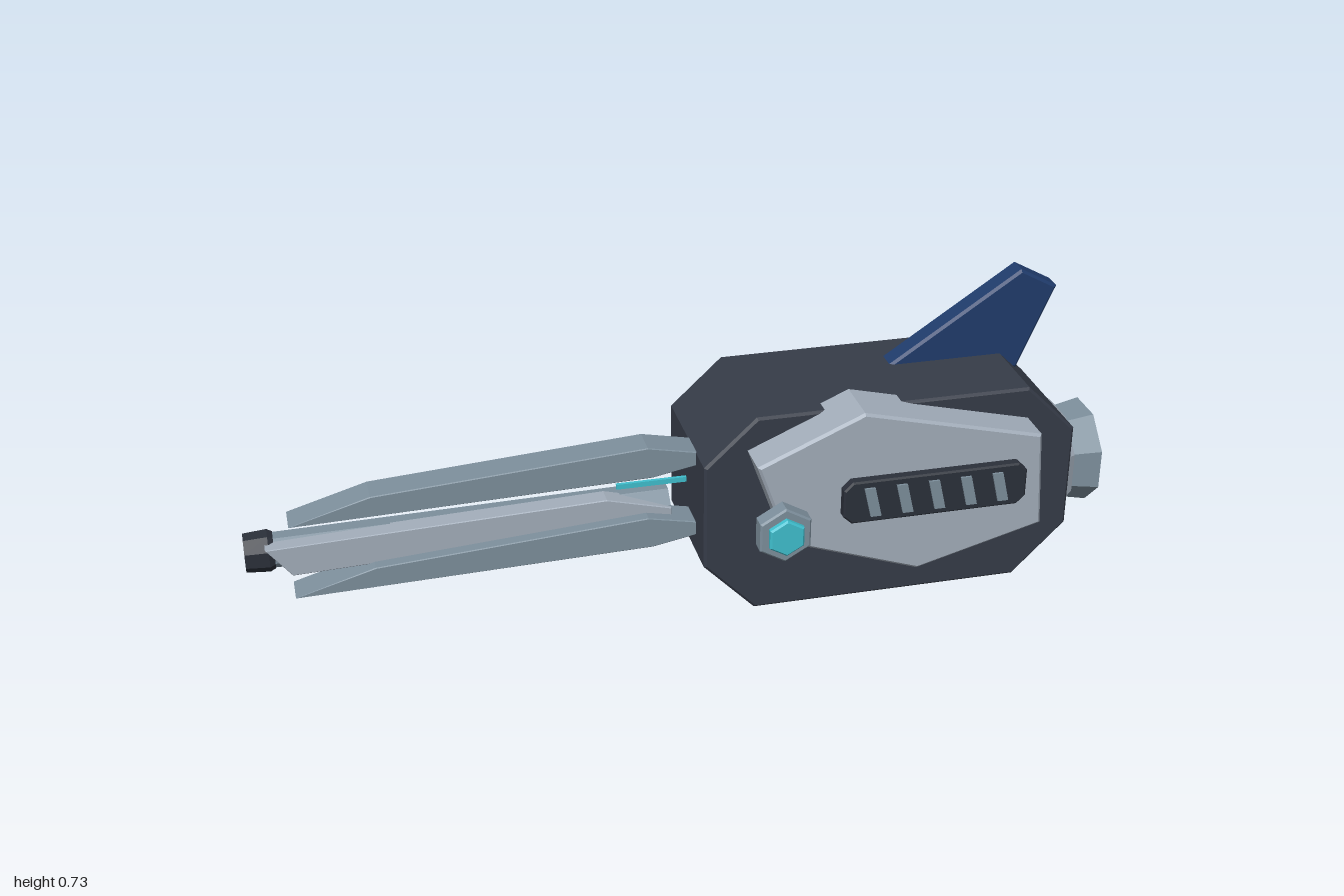
import * as THREE from 'three';

const mat = (name, color, flatShading = true) => {
  const m = new THREE.MeshStandardMaterial({ color, flatShading });
  m.name = name;
  return m;
};

export function createModel() {
  const root = new THREE.Group();
  root.name = 'blaster';
  const dark = mat('charcoal', 0x363c48);
  const black = mat('darkMetal', 0x2b303a);
  const light = mat('lightSteel', 0xa3aebb);
  const steel = mat('steel', 0x7d8f9c);
  const blue = mat('navy', 0x203c6c);
  const cyan = mat('cyanGlow', 0x3fbfce);

  const add = (name, geo, material) => {
    const m = new THREE.Mesh(geo, material);
    m.name = name;
    root.add(m);
    return m;
  };

  // Outline in the xy plane, extruded from z0 to z1 with a small inner bevel
  const slab = (name, pts, z0, z1, material, bevel = 0.006) => {
    const shape = new THREE.Shape(pts.map(p => new THREE.Vector2(p[0], p[1])));
    const geo = new THREE.ExtrudeGeometry(shape, {
      depth: z1 - z0 - 2 * bevel, bevelEnabled: bevel > 0, bevelThickness: bevel,
      bevelSize: bevel, bevelOffset: -bevel, bevelSegments: 1,
    });
    geo.translate(0, 0, z0 + bevel);
    return add(name, geo, material);
  };

  // Octagonal turned part; profile is [radius, distance along x], dir +1 or -1
  const turned = (name, profile, dir, x, y, z, material) => {
    const pts = profile.map(p => new THREE.Vector2(p[0], p[1]));
    const m = add(name, new THREE.LatheGeometry(pts, 8, Math.PI / 8), material);
    m.rotation.z = -dir * Math.PI / 2;
    m.position.set(x, y, z);
    return m;
  };

  // Main housing
  slab('housing', [[0.13, 0.036], [0.765, 0.036], [0.888, 0.16], [0.888, 0.41],
    [0.77, 0.527], [0.13, 0.527], [0.01, 0.415], [0.01, 0.16]], -0.24, 0.09, dark);

  // Side armour
  slab('armourPlate', [[0.18, 0.25], [0.49, 0.142], [0.785, 0.222], [0.77, 0.452],
    [0.35, 0.555], [0.108, 0.45]], 0.045, 0.178, light);

  // Vent with slanted slats
  slab('vent', [[0.32, 0.296], [0.71, 0.296], [0.73, 0.315], [0.73, 0.38],
    [0.71, 0.4], [0.32, 0.4], [0.3, 0.38], [0.3, 0.315]], 0.176, 0.203, black, 0.004);
  for (let i = 0; i < 5; i++) {
    const x = 0.352 + i * 0.075;
    slab('ventSlat' + (i + 1), [[x + 0.01, 0.312], [x + 0.035, 0.312],
      [x + 0.018, 0.384], [x - 0.007, 0.384]], 0.2, 0.208, steel, 0);
  }

  // Hexagonal lamp
  const hex = (name, r, z0, z1, material) => {
    const pts = [];
    for (let i = 0; i < 6; i++) {
      const a = Math.PI / 6 + i * Math.PI / 3;
      pts.push([0.16 + r * Math.cos(a), 0.303 + r * Math.sin(a)]);
    }
    slab(name, pts, z0, z1, material, 0.004);
  };
  hex('lampBase', 0.052, 0.17, 0.195, black);
  hex('lampCollar', 0.067, 0.188, 0.229, steel);
  hex('lampLens', 0.045, 0.215, 0.243, cyan);

  // Fins
  slab('upperFin', [[0.44, 0.485], [0.815, 0.485], [0.9, 0.685], [0.81, 0.734],
    [0.5, 0.527]], -0.156, -0.1, blue);
  slab('lowerFin', [[0.5, 0.05], [0.52, 0.036], [0.745, 0.002], [0.775, 0.05]],
    -0.106, -0.016, blue, 0.004);

  // Rear thruster: mounting flange, open flared bell and inner cap
  const ty = 0.25, tz = -0.095;
  turned('thrusterFlange', [[0.138, -0.02], [0.138, 0.025], [0.125, 0.042], [0, 0.042]],
    1, 0.888, ty, tz, light);
  turned('thrusterBell', [[0.11, 0], [0.124, 0.07], [0.086, 0.07], [0.074, 0.055], [0.074, 0]],
    1, 0.93, ty, tz, steel);
  turned('thrusterCap', [[0.08, 0], [0.08, 0.006], [0, 0.006]], 1, 0.93, ty, tz, light);

  // Twin outer blades
  for (const [name, dy] of [['lowerBlade', 0], ['upperBlade', 0.18]]) {
    slab(name, [[-0.9, 0.165], [-0.09, 0.184], [0.02, 0.204], [0.02, 0.235],
      [-0.1, 0.26], [-0.72, 0.218]].map(([x, y]) => [x, y + dy]), -0.065, 0.01, steel, 0.002);
  }

  // Barrel, its cover rail and the hollow muzzle
  turned('barrel', [[0, 0], [0.053, 0], [0.04, 0.9], [0, 0.9]], -1, -0.04, 0.247, -0.075, steel);
  slab('barrelRail', [[-0.9, 0.207], [-0.1, 0.235], [-0.04, 0.24], [-0.04, 0.265],
    [-0.19, 0.304], [-0.955, 0.278]], -0.065, -0.018, light, 0.002);
  turned('muzzle', [[0, 0], [0.042, 0], [0.048, 0.012], [0.044, 0.065], [0.028, 0.065],
    [0.028, 0.025], [0, 0.025]], -1, -0.935, 0.247, -0.075, black);

  // Glowing strip beside the upper blade
  const strip = add('glowStrip', new THREE.BoxGeometry(0.16, 0.012, 0.008), cyan);
  strip.position.set(-0.1, 0.37, 0.04);

  return root;
}
